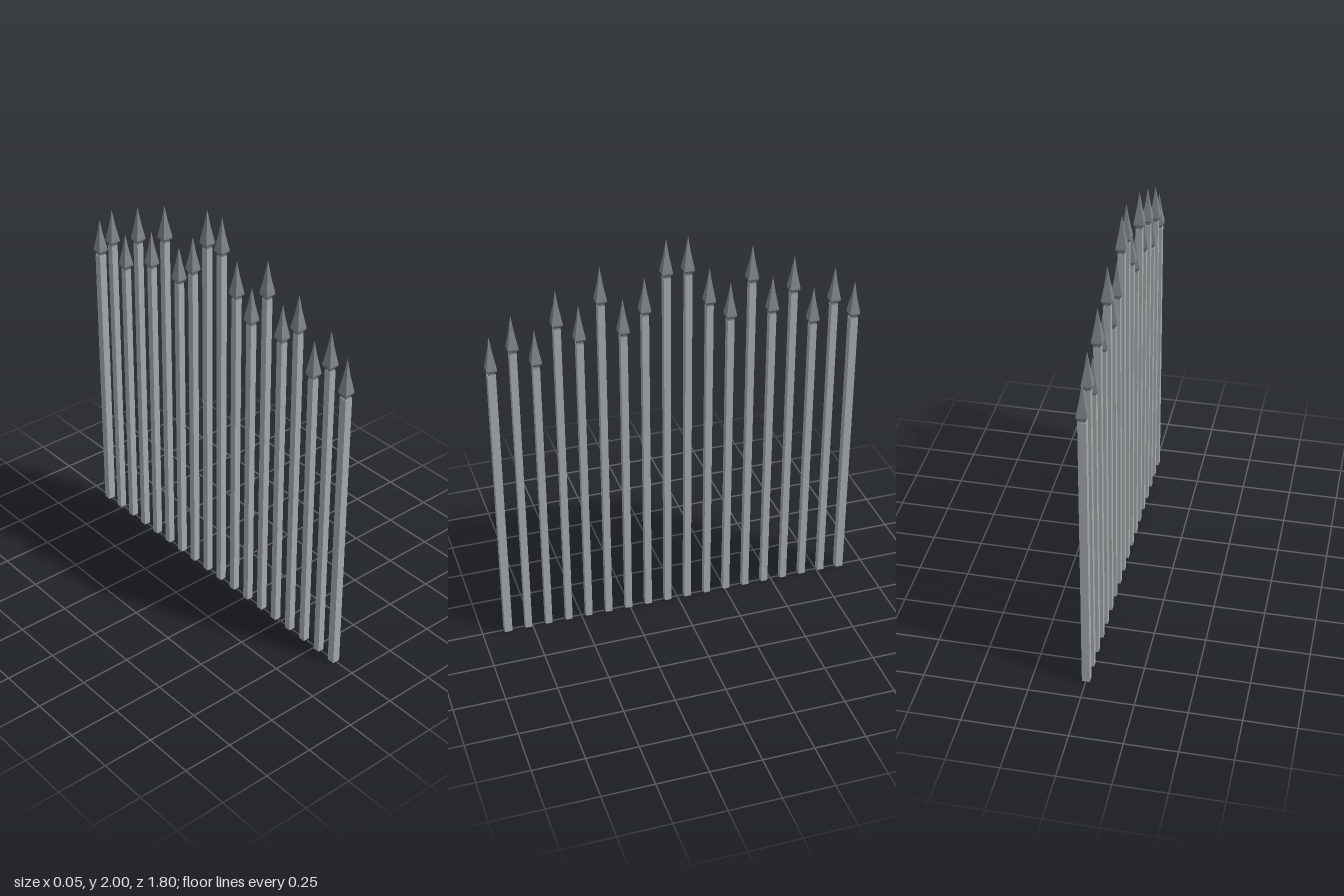
import * as THREE from 'three';

// Square lathe: profile of [half width, height] from bottom to top, flat shaded
function squareProfile(profile) {
  const pts = profile.map(([w, y]) => new THREE.Vector2(w * Math.SQRT2, y));
  const geo = new THREE.LatheGeometry(pts, 4, Math.PI / 4).toNonIndexed();
  geo.computeVertexNormals();
  return geo;
}

export function createModel() {
  const group = new THREE.Group();
  group.name = 'spearFence';
  const shaftMat = new THREE.MeshStandardMaterial({ color: 0xa4aaac });
  shaftMat.name = 'light iron';
  const headMat = new THREE.MeshStandardMaterial({ color: 0x7d8486 });
  headMat.name = 'dark iron';

  // Spearhead: neck collar, flared base and long point, measured from the shaft top
  const headGeo = squareProfile([
    [0, 0], [0.015, 0], [0.015, 0.009], [0.018, 0.012], [0.025, 0.024],
    [0.024, 0.034], [0.011, 0.108], [0, 0.19],
  ]);

  // Tip heights from the end of the row to the middle, mirrored for the other half
  const tips = [1.645, 1.735, 1.645, 1.825, 1.735, 1.91, 1.735, 1.825, 2.0];
  const spacing = 0.1028;

  tips.forEach((tip, i) => {
    const shaftTop = tip - 0.19;
    const width = i === 0 ? 0.038 : 0.033;
    const shaftGeo = new THREE.BoxGeometry(width, shaftTop, width);
    for (const side of [1, -1]) {
      const picket = new THREE.Group();
      picket.name = 'picket';
      picket.position.z = side * spacing * (8.5 - i);

      const shaft = new THREE.Mesh(shaftGeo, shaftMat);
      shaft.name = 'shaft';
      shaft.position.y = shaftTop / 2;

      const head = new THREE.Mesh(headGeo, headMat);
      head.name = 'spearhead';
      head.position.y = shaftTop;

      picket.add(shaft, head);
      group.add(picket);
    }
  });
  return group;
}
